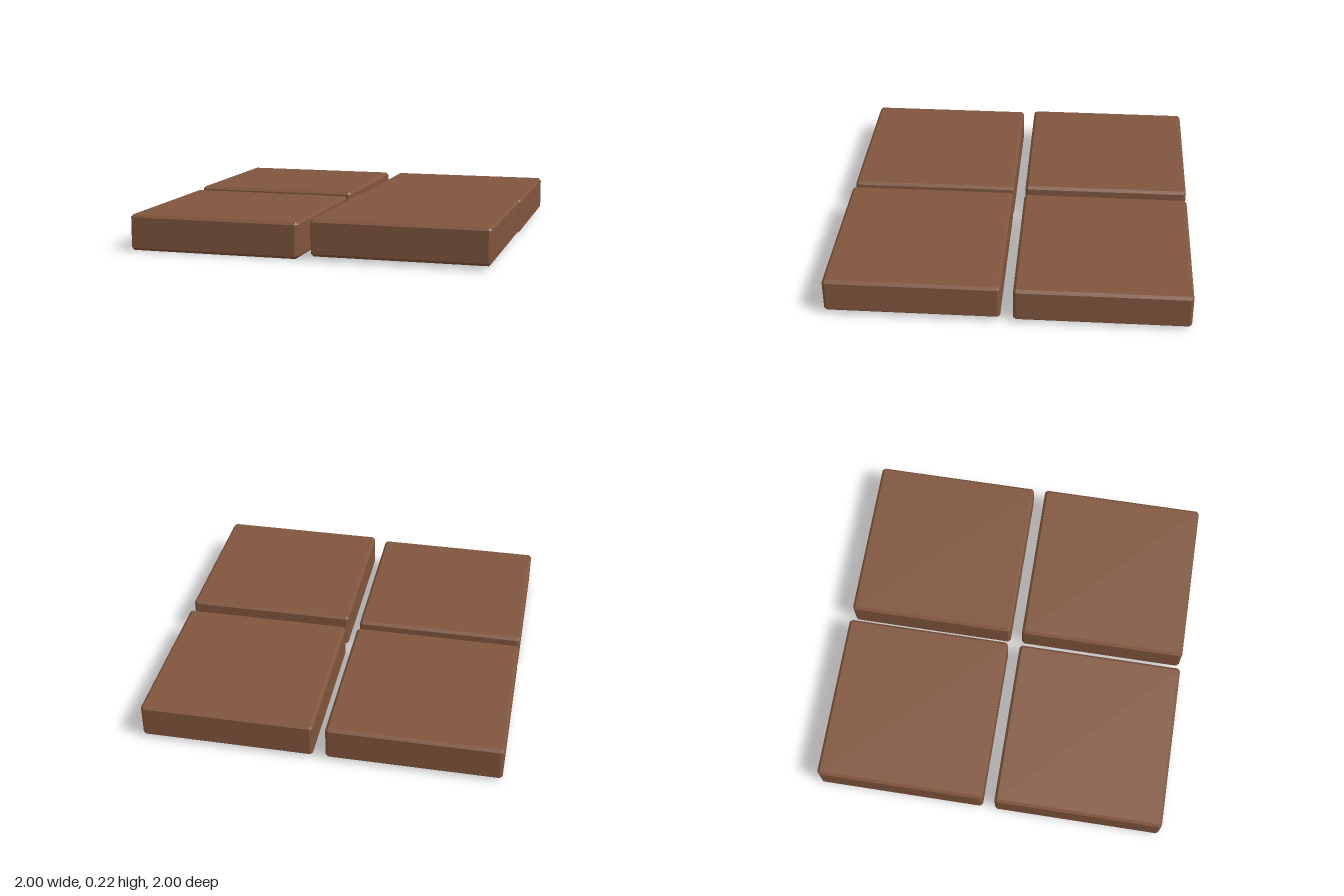
import * as THREE from 'three';
import { ConvexGeometry } from 'three/addons/geometries/ConvexGeometry.js';

// Box with every edge cut by a single flat chamfer
function chamferedBox(w, h, d, c) {
  const points = [];
  for (const sx of [-1, 1]) for (const sy of [-1, 1]) for (const sz of [-1, 1]) {
    const x = w / 2, y = h / 2, z = d / 2;
    points.push(
      new THREE.Vector3(sx * x, sy * (y - c), sz * (z - c)),
      new THREE.Vector3(sx * (x - c), sy * y, sz * (z - c)),
      new THREE.Vector3(sx * (x - c), sy * (y - c), sz * z)
    );
  }
  return new ConvexGeometry(points);
}

export function createModel() {
  const group = new THREE.Group();
  group.name = 'floorTiles';

  const size = 0.965, height = 0.2, gap = 0.07;
  const geometry = chamferedBox(size, height, size, 0.015);
  const material = new THREE.MeshStandardMaterial({ color: 0x80553d, flatShading: true });

  // Four tiles, each resting at a slightly different level
  const offset = (size + gap) / 2;
  const tiles = [
    ['frontRightTile', -1, 1, 0],
    ['frontLeftTile', 1, 1, 0.02],
    ['backRightTile', -1, -1, 0.01],
    ['backLeftTile', 1, -1, 0.01],
  ];
  for (const [name, sx, sz, lift] of tiles) {
    const tile = new THREE.Mesh(geometry, material);
    tile.name = name;
    tile.position.set(sx * offset, height / 2 + lift, sz * offset);
    group.add(tile);
  }
  return group;
}
